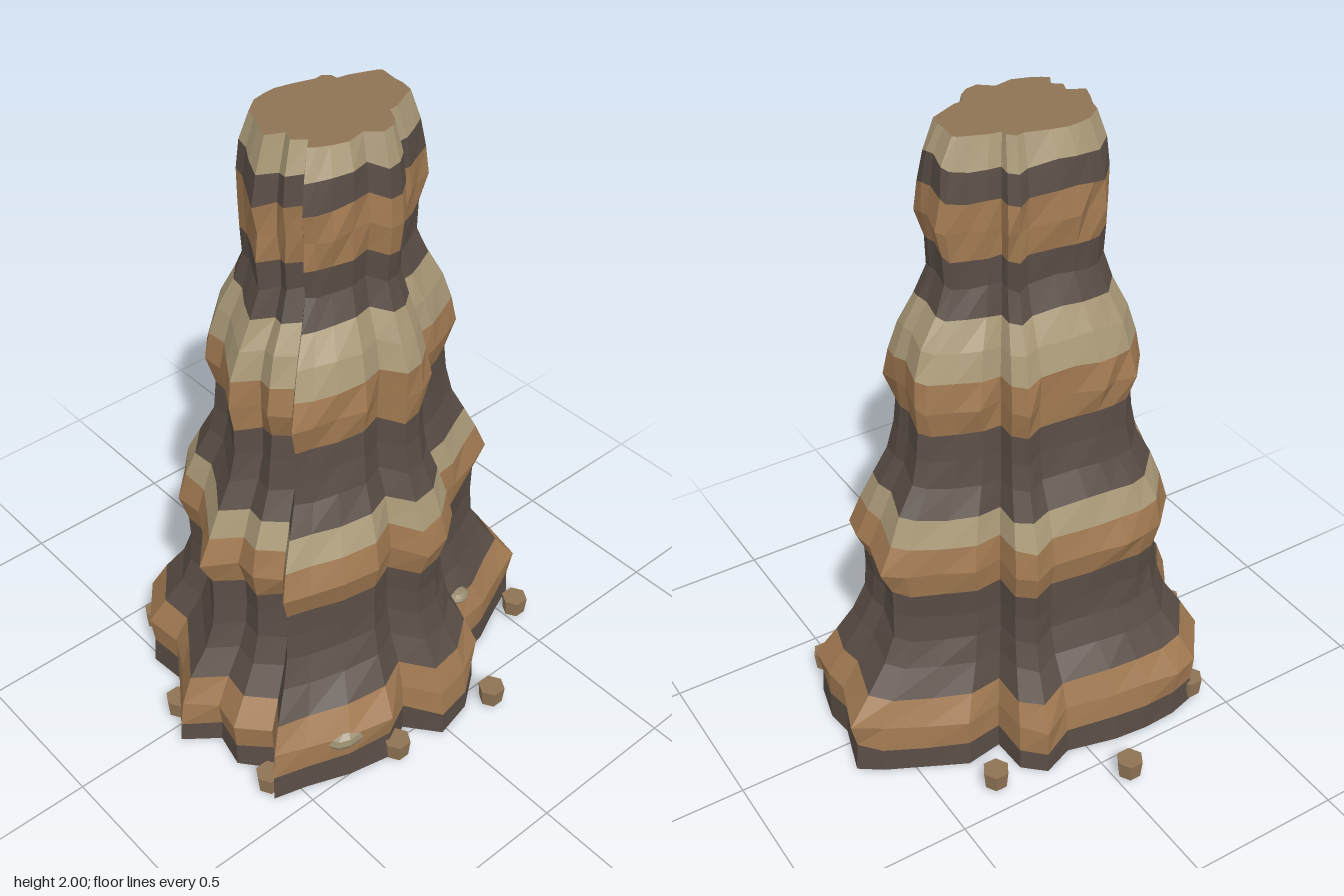
import * as THREE from 'three';

const mat = (name, color) => {
  const m = new THREE.MeshStandardMaterial({ color, flatShading: true });
  m.name = name;
  return m;
};

// Plan outlines [x, z], matching point for point
const BASE = [
  [.66, -.11], [.61, .05], [.62, .14], [.59, .26], [.49, .30], [.36, .36], [.25, .38], [.22, .46],
  [.11, .54], [-.02, .57], [-.10, .47], [-.21, .53], [-.35, .50], [-.48, .45], [-.585, .42],
  [-.51, .33], [-.585, .24], [-.56, .13], [-.66, .05], [-.57, -.07], [-.51, -.16], [-.52, -.28],
  [-.41, -.42], [-.32, -.445], [-.21, -.45], [-.10, -.44], [.06, -.40], [.16, -.44], [.225, -.38],
  [.23, -.26], [.35, -.28], [.47, -.22], [.59, -.16]];
const TOP = [
  [.21, -.02], [.20, .04], [.20, .07], [.19, .11], [.14, .135], [.10, .155], [.07, .16], [.05, .20],
  [.02, .225], [-.02, .235], [-.06, .20], [-.12, .215], [-.17, .20], [-.20, .185], [-.22, .17],
  [-.19, .14], [-.225, .11], [-.21, .075], [-.26, .05], [-.24, 0], [-.22, -.04], [-.21, -.075],
  [-.16, -.115], [-.12, -.125], [-.08, -.13], [-.03, -.12], [.04, -.10], [.065, -.105], [.085, -.085],
  [.085, -.065], [.12, -.06], [.16, -.045], [.20, -.03]];

// Half width of each of the 24 evenly spaced levels, bottom to top
const WIDTH = [.662, .658, .66, .605, .54, .50, .49, .495, .525, .495, .455, .405,
  .385, .378, .398, .385, .355, .305, .27, .275, .285, .283, .27, .235];
const N = BASE.length, LEVELS = WIDTH.length - 1;

export function createModel() {
  const model = new THREE.Group();
  model.name = 'layeredRockSpire';
  const dark = mat('darkStone', 0x5a4e46);
  const tan = mat('tanStone', 0xa27a52);
  const light = mat('paleStone', 0xab9a78);
  const earth = mat('brownStone', 0x8f7455);
  const patch = mat('greyStone', 0x968a6c);

  let seed = 7;
  const rand = () => (seed = (seed * 16807) % 2147483647) / 2147483647 - 0.5;

  // Rings blend from base to top outline, with gently wavy strata and rough tan layers
  const rough = new Set([2, 8, 14, 20]);
  const rings = WIDTH.map((w, k) => BASE.map(([bx, bz], j) => {
    const edge = k === 0 || k === LEVELS;
    const t = (w - .235) / .427 + (rough.has(k) ? rand() * .08 : edge ? 0 : rand() * .02);
    const a = j / N * Math.PI * 2;
    const wave = edge ? 0 : .011 * Math.sin(3 * a + 1) + .008 * Math.sin(7 * a) + rand() * .008;
    return [
      THREE.MathUtils.lerp(TOP[j][0], bx, t),
      k * 2 / LEVELS + wave,
      THREE.MathUtils.lerp(TOP[j][1], bz, t)];
  }));

  const addFaces = (name, pos, material) => {
    const g = new THREE.BufferGeometry();
    g.setAttribute('position', new THREE.Float32BufferAttribute(pos, 3));
    g.computeVertexNormals();
    const mesh = new THREE.Mesh(g, material);
    mesh.name = name;
    model.add(mesh);
  };

  // Strata: [first level, last level, colour]
  [[0, 1, dark], [1, 3, tan], [3, 7, dark], [7, 9, tan], [9, 10, light], [10, 13, dark],
    [13, 15, tan], [15, 17, light], [17, 19, dark], [19, 21, tan], [21, 22, dark], [22, 23, light],
  ].forEach(([from, to, material], i) => {
    const pos = [];
    for (let k = from; k < to; k++) {
      for (let j = 0; j < N; j++) {
        const n = (j + 1) % N;
        const a = rings[k][j], b = rings[k][n], c = rings[k + 1][n], d = rings[k + 1][j];
        pos.push(...a, ...d, ...b, ...b, ...d, ...c);
      }
    }
    addFaces(`stratum${i + 1}`, pos, material);
  });

  // Flat summit and underside
  const cap = (name, ring, centre, up) => {
    const pos = [];
    ring.forEach((a, j) => {
      const b = ring[(j + 1) % N];
      pos.push(...centre, ...(up ? b : a), ...(up ? a : b));
    });
    addFaces(name, pos, earth);
  };
  cap('summit', rings[LEVELS], [-.02, 2, .05], true);
  cap('underside', rings[0], [0, 0, .03], false);

  // Hexagonal stones scattered around the foot
  const stone = new THREE.CylinderGeometry(.043, .037, .06, 6);
  stone.rotateY(Math.PI / 6);
  [[.53, .35], [.185, .58], [-.19, .54], [-.57, .38], [-.597, -.04], [-.42, -.40],
    [-.043, -.59], [.33, -.405], [.58, -.10]].forEach(([x, z], i) => {
    const mesh = new THREE.Mesh(stone, earth);
    mesh.name = `footStone${i + 1}`;
    mesh.position.set(x, .047, z);
    model.add(mesh);
  });

  // Smooth grey boulders barely breaking through the lower slope
  [[-.34, .16, .475, .075, .035, .045], [.25, .265, .345, .04, .018, .035]].forEach((p, i) => {
    const mesh = new THREE.Mesh(new THREE.SphereGeometry(1, 10, 6), patch);
    mesh.name = `embeddedBoulder${i + 1}`;
    mesh.position.set(p[0], p[1], p[2]);
    mesh.scale.set(p[3], p[4], p[5]);
    model.add(mesh);
  });

  return model;
}
